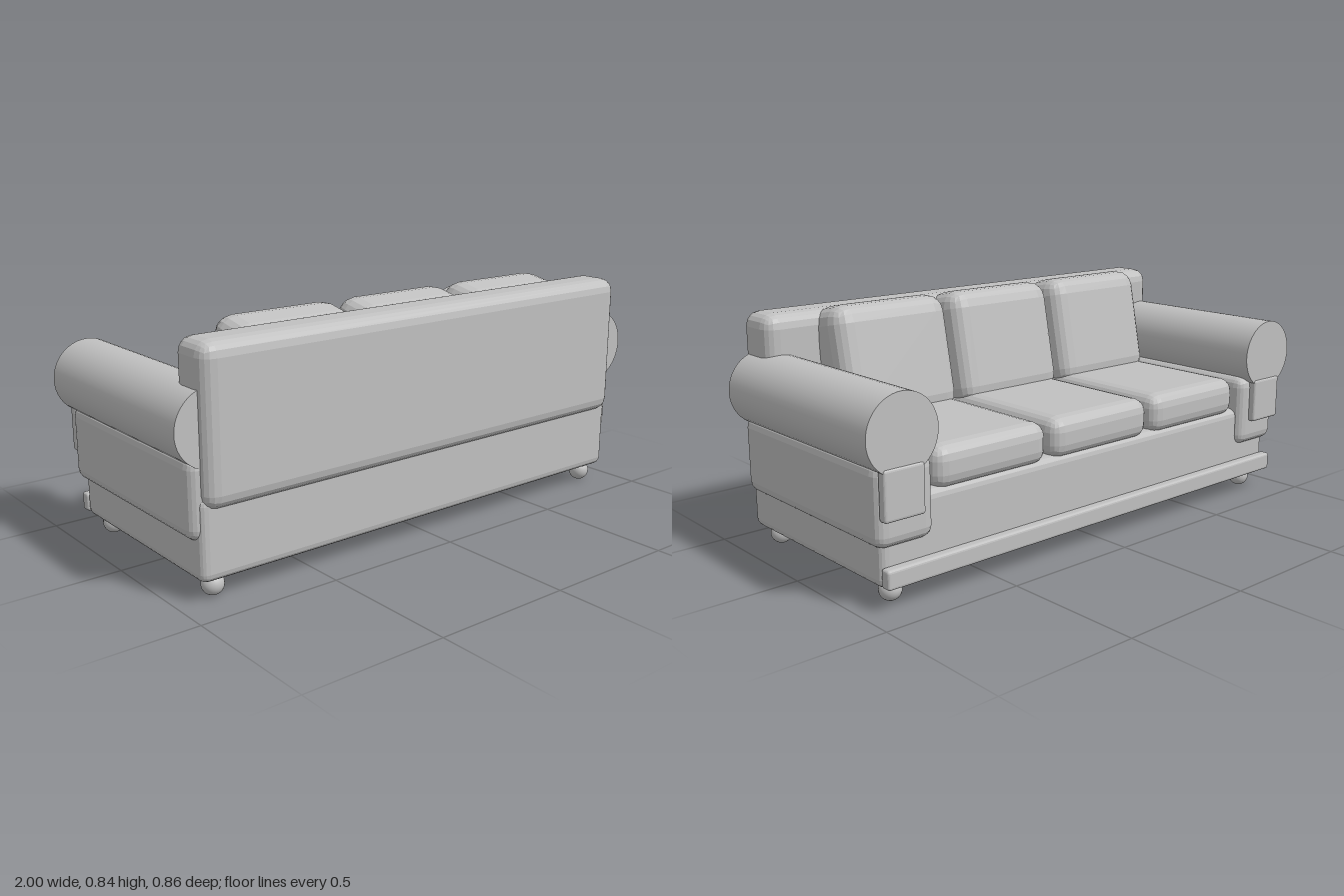
import * as THREE from 'three';
import { RoundedBoxGeometry } from 'three/addons/geometries/RoundedBoxGeometry.js';

export function createModel() {
  const sofa = new THREE.Group();
  sofa.name = 'sofa';
  const grey = new THREE.MeshStandardMaterial({ color: 0xc0c0c0 });
  grey.name = 'grey';

  function add(name, geometry, x, y, z) {
    const mesh = new THREE.Mesh(geometry, grey);
    mesh.name = name;
    mesh.position.set(x, y, z);
    sofa.add(mesh);
    return mesh;
  }

  // Box with faceted rounded edges, given by its limits on each axis
  function block(name, [x0, x1], [y0, y1], [z0, z1], radius) {
    const geometry = new RoundedBoxGeometry(x1 - x0, y1 - y0, z1 - z0, 2, radius);
    geometry.computeVertexNormals();
    return add(name, geometry, (x0 + x1) / 2, (y0 + y1) / 2, (z0 + z1) / 2);
  }

  // Base, front rail and backrest
  block('base', [-0.93, 0.93], [0.065, 0.345], [-0.38, 0.4], 0.03);
  block('frontRail', [-0.93, 0.93], [0.075, 0.14], [-0.415, -0.375], 0.01);
  block('backrest', [-0.92, 0.92], [0.3, 0.82], [0.255, 0.43], 0.05);

  // Three seat cushions, each with a back cushion leaning on the backrest
  for (const x of [-0.49, 0, 0.49]) {
    block('seatCushion', [x - 0.235, x + 0.235], [0.33, 0.475], [-0.39, 0.3], 0.05);
    const back = block('backCushion', [x - 0.235, x + 0.235], [0.414, 0.834], [0.104, 0.304], 0.065);
    back.rotation.x = 0.2;
  }

  for (const side of [-1, 1]) {
    const span = (a, b) => (side > 0 ? [a, b] : [-b, -a]);
    // Arm: lower box, rolled top and a plate on the front end
    block('armBox', span(0.74, 0.955), [0.2, 0.47], [-0.405, 0.39], 0.04);
    const roll = new THREE.CylinderGeometry(0.13, 0.13, 0.815, 48);
    roll.rotateX(Math.PI / 2);
    add('armRoll', roll, side * 0.87, 0.555, -0.0175);
    block('armPlate', span(0.795, 0.945), [0.295, 0.46], [-0.43, -0.395], 0.01);

    // Ball feet
    for (const z of [-0.32, 0.34]) {
      add('foot', new THREE.SphereGeometry(0.038, 24, 16), side * 0.86, 0.038, z);
    }
  }

  return sofa;
}
